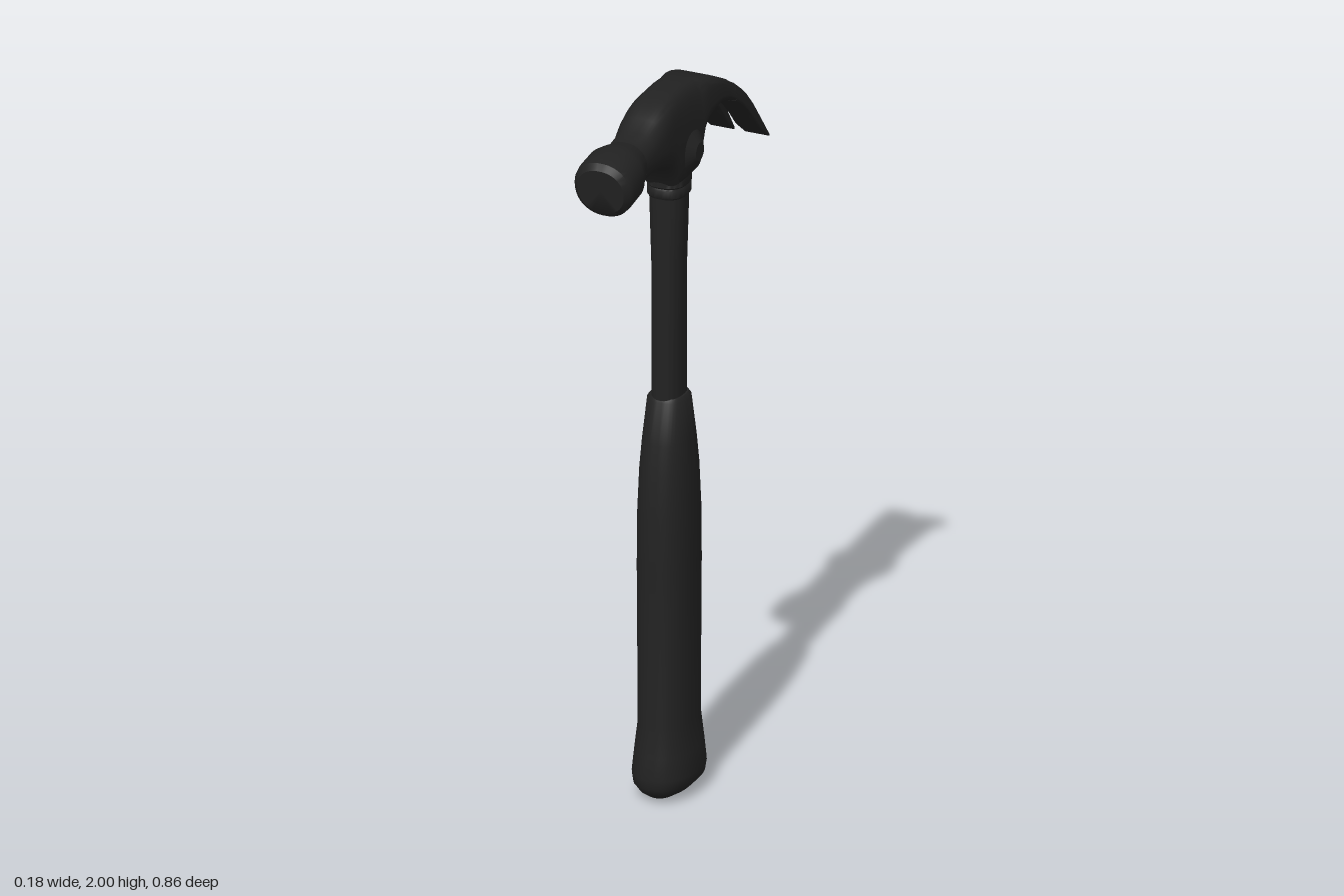
import * as THREE from 'three';
import { toCreasedNormals } from 'three/addons/utils/BufferGeometryUtils.js';

const black = new THREE.MeshStandardMaterial({ color: 0x222222 });
black.name = 'matteBlack';

// Skin a list of closed rings (arrays of Vector3) and cap both ends.
function loft(name, rings) {
  const n = rings[0].length, last = (rings.length - 1) * n;
  const points = rings.flat(), index = [];
  const centre = ring => ring.reduce((s, p) => s.add(p), new THREE.Vector3()).divideScalar(n);
  const start = points.push(centre(rings[0])) - 1;
  const end = points.push(centre(rings[rings.length - 1])) - 1;
  for (let j = 0; j < n; j++) {
    const k = (j + 1) % n;
    for (let i = 0; i < last; i += n) {
      index.push(i + j, i + n + j, i + k, i + n + j, i + n + k, i + k);
    }
    index.push(start, j, k, end, last + k, last + j);
  }
  const geometry = new THREE.BufferGeometry().setFromPoints(points);
  geometry.setIndex(index);
  const mesh = new THREE.Mesh(toCreasedNormals(geometry, 0.7), black);
  mesh.name = name;
  return mesh;
}

// Superellipse: power 2 is round, higher is squarer.
function ellipse(power, sides = 40) {
  const bend = v => Math.sign(v) * Math.abs(v) ** (2 / power);
  return Array.from({ length: sides }, (_, j) => {
    const t = ((j + 0.5) / sides) * Math.PI * 2;
    return [bend(Math.cos(t)), bend(Math.sin(t))];
  });
}

// Upright oval part; rows are [y, half width, half depth].
const upright = (name, rows) => loft(name, rows.map(([y, hx, hz]) =>
  ellipse(2.4).map(([u, v]) => new THREE.Vector3(u * hx, y, v * hz))));

// Head slice between two heights; taper narrows the top, lean tilts the slice.
function slice(z, top, bottom, x0, x1, power, taper = 1, lean = 0) {
  return ellipse(power).map(([u, v]) => {
    const x = (x0 + x1) / 2 + u * (x1 - x0) / 2;
    const narrow = v > 0 ? 1 - (1 - taper) * v : 1;
    return new THREE.Vector3(x * narrow, (top + bottom) / 2 + v * (top - bottom) / 2, z + v * lean);
  });
}

export function createModel() {
  const hammer = new THREE.Group();
  hammer.name = 'clawHammer';

  // Handle
  hammer.add(upright('grip', [
    [0, 0.02, 0.05], [0.008, 0.04, 0.088], [0.022, 0.062, 0.108], [0.042, 0.08, 0.119],
    [0.07, 0.085, 0.121], [0.13, 0.079, 0.115], [0.21, 0.07, 0.106],
    [0.65, 0.074, 0.104], [0.8, 0.073, 0.102], [0.92, 0.069, 0.094],
    [1.0, 0.064, 0.082], [1.115, 0.054, 0.06], [1.125, 0.046, 0.054],
  ]));
  hammer.add(upright('shaft', [[1.1, 0.041, 0.057], [1.5, 0.042, 0.054], [1.78, 0.052, 0.054]]));
  hammer.add(upright('collar', [
    [1.69, 0.05, 0.056], [1.695, 0.054, 0.06], [1.715, 0.054, 0.06], [1.72, 0.051, 0.057],
    [1.725, 0.055, 0.062], [1.75, 0.055, 0.063],
  ]));

  // Round poll with a tilted striking face: [z, top, bottom, half width, lean]
  const poll = [
    [0.422, 1.92, 1.795, 0.066, 0.01], [0.408, 1.938, 1.78, 0.08, 0.013],
    [0.39, 1.943, 1.782, 0.083, 0.012], [0.33, 1.95, 1.793, 0.083, 0.008],
    [0.305, 1.945, 1.802, 0.074, 0], [0.27, 1.937, 1.815, 0.063, 0],
  ];
  hammer.add(loft('poll', poll.map(([z, top, bottom, w, lean]) =>
    slice(z, top, bottom, -w, w, 2.2, 1, lean))));

  // Neck and body, squarer towards the claw: [z, top, bottom, half width]
  const body = [
    [0.27, 1.937, 1.815, 0.063], [0.215, 1.942, 1.825, 0.062], [0.175, 1.967, 1.824, 0.067],
    [0.135, 1.985, 1.813, 0.069], [0.105, 1.993, 1.8, 0.069], [0.07, 1.998, 1.752, 0.07],
    [0.058, 1.999, 1.733, 0.07], [0, 2, 1.73, 0.071], [-0.055, 1.995, 1.735, 0.071],
    [-0.064, 1.993, 1.78, 0.071], [-0.075, 1.991, 1.825, 0.072], [-0.1, 1.985, 1.861, 0.073],
    [-0.13, 1.975, 1.878, 0.075], [-0.17, 1.959, 1.886, 0.077], [-0.21, 1.938, 1.879, 0.078],
    [-0.245, 1.914, 1.861, 0.079],
  ];
  hammer.add(loft('body', body.map(([z, top, bottom, w]) => {
    const power = 4 - 10 * Math.max(0, z - 0.1) + 24 * Math.max(0, -z - 0.07);
    const taper = 0.87 + 0.4 * Math.max(0, Math.abs(z) - 0.07);
    return slice(z, top, bottom, -w, w, power, taper);
  })));

  // Two claw prongs either side of the tapering slot: [z, top, bottom]
  const prong = [
    [-0.243, 1.915, 1.862], [-0.28, 1.886, 1.837], [-0.31, 1.859, 1.811],
    [-0.345, 1.819, 1.774], [-0.38, 1.772, 1.732], [-0.432, 1.698, 1.691],
  ];
  for (const side of [1, -1]) {
    hammer.add(loft(side > 0 ? 'leftClaw' : 'rightClaw', prong.map(([z, top, bottom]) => {
      const s = (-z - 0.243) / 0.19;
      const edges = [side * (0.004 + 0.01 * s), side * (0.079 + 0.006 * s)];
      return slice(z, top, bottom, Math.min(...edges), Math.max(...edges), 9, 0.95 + 0.05 * s);
    })));

    // Tapered cheek boss over the handle socket
    const cheek = new THREE.Mesh(new THREE.CylinderGeometry(0.025, 0.07, 0.028, 24), black);
    cheek.name = side > 0 ? 'leftCheek' : 'rightCheek';
    cheek.rotation.z = -side * Math.PI / 2;
    cheek.position.set(side * 0.074, 1.82, 0);
    hammer.add(cheek);
  }
  return hammer;
}
